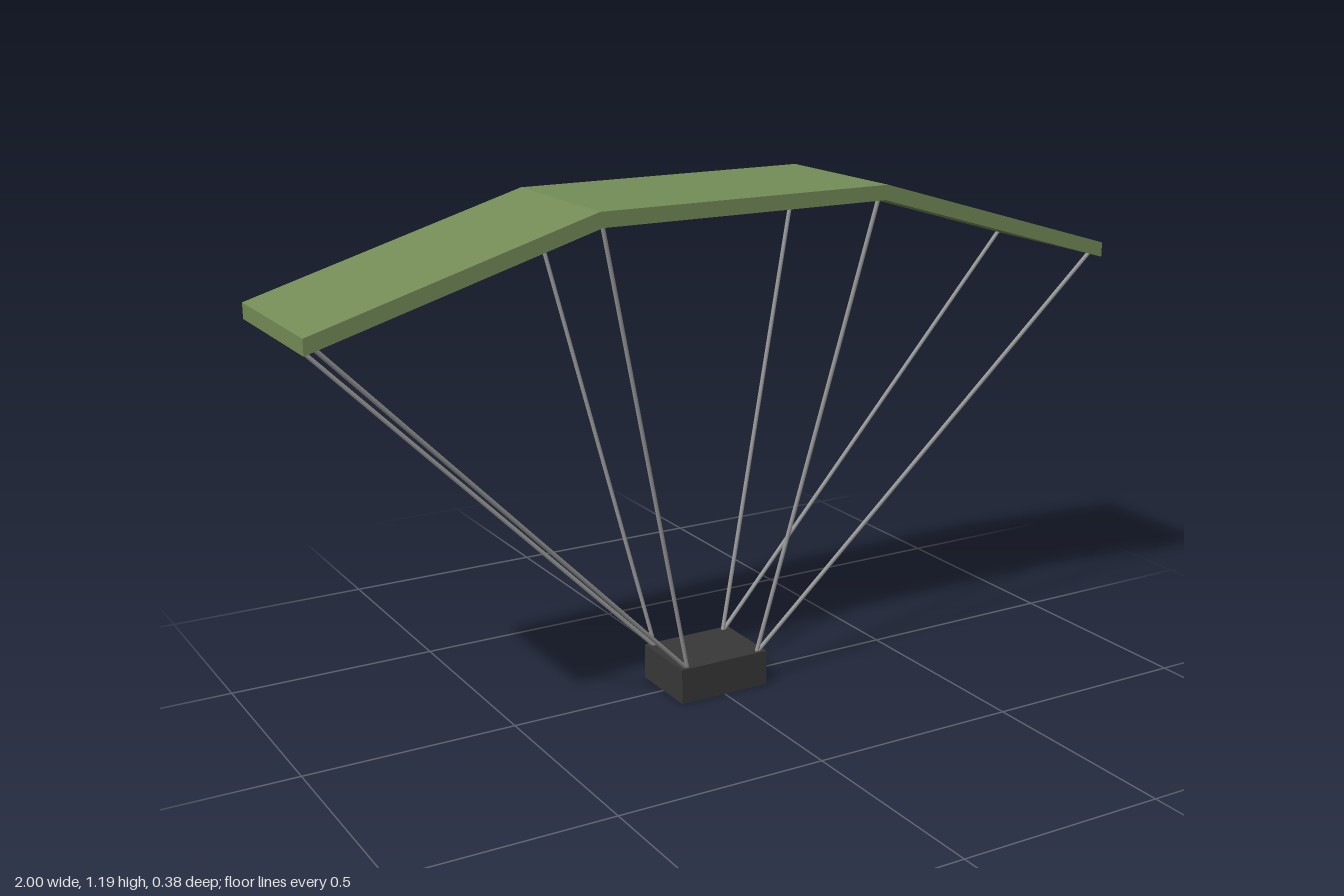
import * as THREE from 'three';

const fabric = new THREE.MeshStandardMaterial({ name: 'green fabric', color: 0x748c57 });
const dark = new THREE.MeshStandardMaterial({ name: 'dark crate', color: 0x383838 });
const rope = new THREE.MeshStandardMaterial({ name: 'grey rope', color: 0x999999 });

// Thin straight cord between two points
function cord(from, to) {
  const dir = to.clone().sub(from);
  const mesh = new THREE.Mesh(new THREE.CylinderGeometry(0.005, 0.005, dir.length(), 8), rope);
  mesh.position.copy(from).add(to).multiplyScalar(0.5);
  mesh.quaternion.setFromUnitVectors(new THREE.Vector3(0, 1, 0), dir.normalize());
  return mesh;
}

export function createModel() {
  const model = new THREE.Group();
  model.name = 'parachute';

  // Canopy: three flat panels in one bent slab
  const depth = 0.38;
  const half = [[0.36, 1.186], [1, 0.997], [1, 0.962], [0.354, 1.152]];
  const outline = [...half, ...half.map(([x, y]) => [-x, y]).reverse()];
  const canopyGeo = new THREE.ExtrudeGeometry(
    new THREE.Shape(outline.map(([x, y]) => new THREE.Vector2(x, y))),
    { depth, bevelEnabled: false }
  );
  canopyGeo.translate(0, 0, -depth / 2);
  const canopy = new THREE.Mesh(canopyGeo, fabric);
  canopy.name = 'canopy';
  model.add(canopy);

  // Cargo crate
  const crate = new THREE.Mesh(new THREE.BoxGeometry(0.23, 0.085, 0.18), dark);
  crate.name = 'crate';
  crate.position.y = 0.0425;
  model.add(crate);

  // Suspension cords: an outer and an inner one from each crate corner
  const cords = new THREE.Group();
  cords.name = 'cords';
  for (const sx of [-1, 1]) {
    for (const sz of [-1, 1]) {
      const corner = new THREE.Vector3(sx * 0.094, 0.08, sz * 0.078);
      const outer = cord(corner, new THREE.Vector3(sx * 0.978, 0.975, sz * 0.173));
      outer.name = 'outerCord';
      const inner = cord(corner, new THREE.Vector3(sx * 0.348, 1.16, sz * 0.173));
      inner.name = 'innerCord';
      cords.add(outer, inner);
    }
  }
  model.add(cords);
  return model;
}
